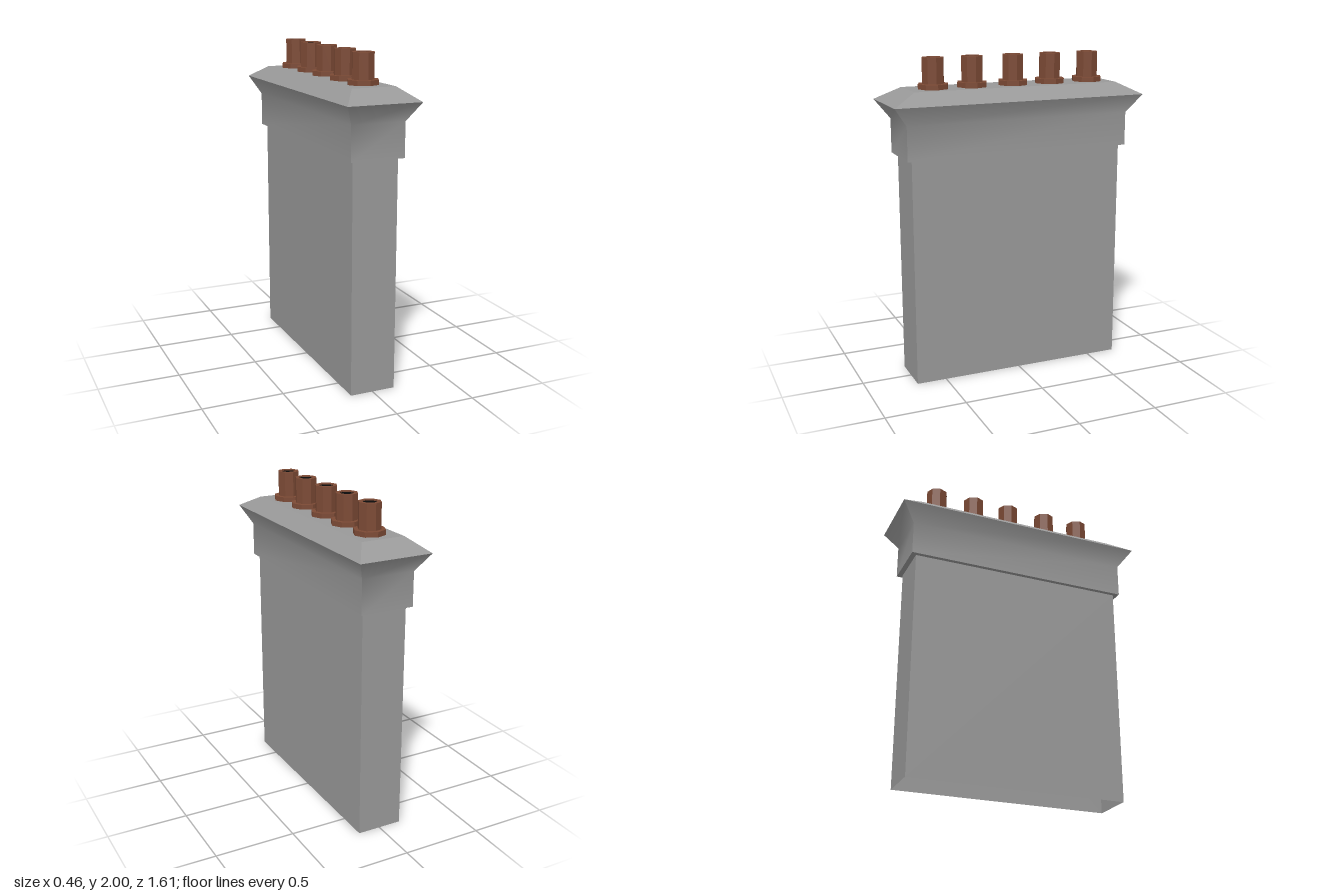
import * as THREE from 'three';

const stone = new THREE.MeshStandardMaterial({ color: 0x999999, side: THREE.DoubleSide });
stone.name = 'grey stone';
const clay = new THREE.MeshStandardMaterial({ color: 0x7c4a35, flatShading: true });
clay.name = 'brown clay';
const soot = new THREE.MeshStandardMaterial({ color: 0x0a0a0a });
soot.name = 'black soot';

// Rectangular shell through levels [halfX, y, halfZ], bottom to top.
// Levels are smoothed along the profile; the four vertical corners stay sharp.
function shell(name, levels) {
  const pos = [], index = [];
  const corners = [[-1, 1], [1, 1], [1, -1], [-1, -1]];
  for (let s = 0; s < 4; s++) {
    const base = pos.length / 3;
    const ends = [corners[s], corners[(s + 1) % 4]];
    levels.forEach(([x, y, z], i) => {
      for (const [sx, sz] of ends) pos.push(sx * x, y, sz * z);
      if (i > 0) {
        const a = base + (i - 1) * 2;
        index.push(a, a + 1, a + 3, a, a + 3, a + 2);
      }
    });
  }
  const geo = new THREE.BufferGeometry();
  geo.setAttribute('position', new THREE.Float32BufferAttribute(pos, 3));
  geo.setIndex(index);
  geo.computeVertexNormals();
  const mesh = new THREE.Mesh(geo, stone);
  mesh.name = name;
  return mesh;
}

// Octagonal chimney pot with a base flange and a dark flue
function chimneyPot(z) {
  const pot = new THREE.Group();
  pot.name = 'chimneyPot';
  const profile = [[0.095, 1.81], [0.095, 1.845], [0.068, 1.845], [0.068, 2], [0.044, 2], [0.044, 1.985]];
  const body = new THREE.Mesh(
    new THREE.LatheGeometry(profile.map(([r, y]) => new THREE.Vector2(r, y)), 8), clay);
  body.name = 'potBody';
  const flue = new THREE.Mesh(new THREE.CircleGeometry(0.044, 16), soot);
  flue.name = 'flueOpening';
  flue.rotation.x = -Math.PI / 2;
  flue.position.y = 1.994;
  pot.add(body, flue);
  pot.position.set(0.007, 0, z);
  return pot;
}

export function createModel() {
  const model = new THREE.Group();
  model.name = 'chimneyStack';

  // Stack walls, open underneath
  model.add(shell('stackWalls', [[0.142, 0, 0.688], [0.142, 1.415, 0.688]]));

  // Underside of the collar, then the collar flaring out to the rim
  model.add(shell('collarUnderside', [[0.142, 1.415, 0.688], [0.168, 1.415, 0.72]]));
  model.add(shell('collar', [[0.168, 1.415, 0.72], [0.168, 1.625, 0.72], [0.229, 1.74, 0.806]]));

  // Sloped cap and its flat top
  model.add(shell('capSlope', [[0.229, 1.74, 0.806], [0.137, 1.815, 0.658]]));
  const top = new THREE.Mesh(new THREE.PlaneGeometry(0.274, 1.316), stone);
  top.name = 'capTop';
  top.rotation.x = -Math.PI / 2;
  top.position.y = 1.815;
  model.add(top);

  // Row of pots
  for (const z of [0.502, 0.255, -0.012, -0.261, -0.521]) model.add(chimneyPot(z));
  return model;
}
